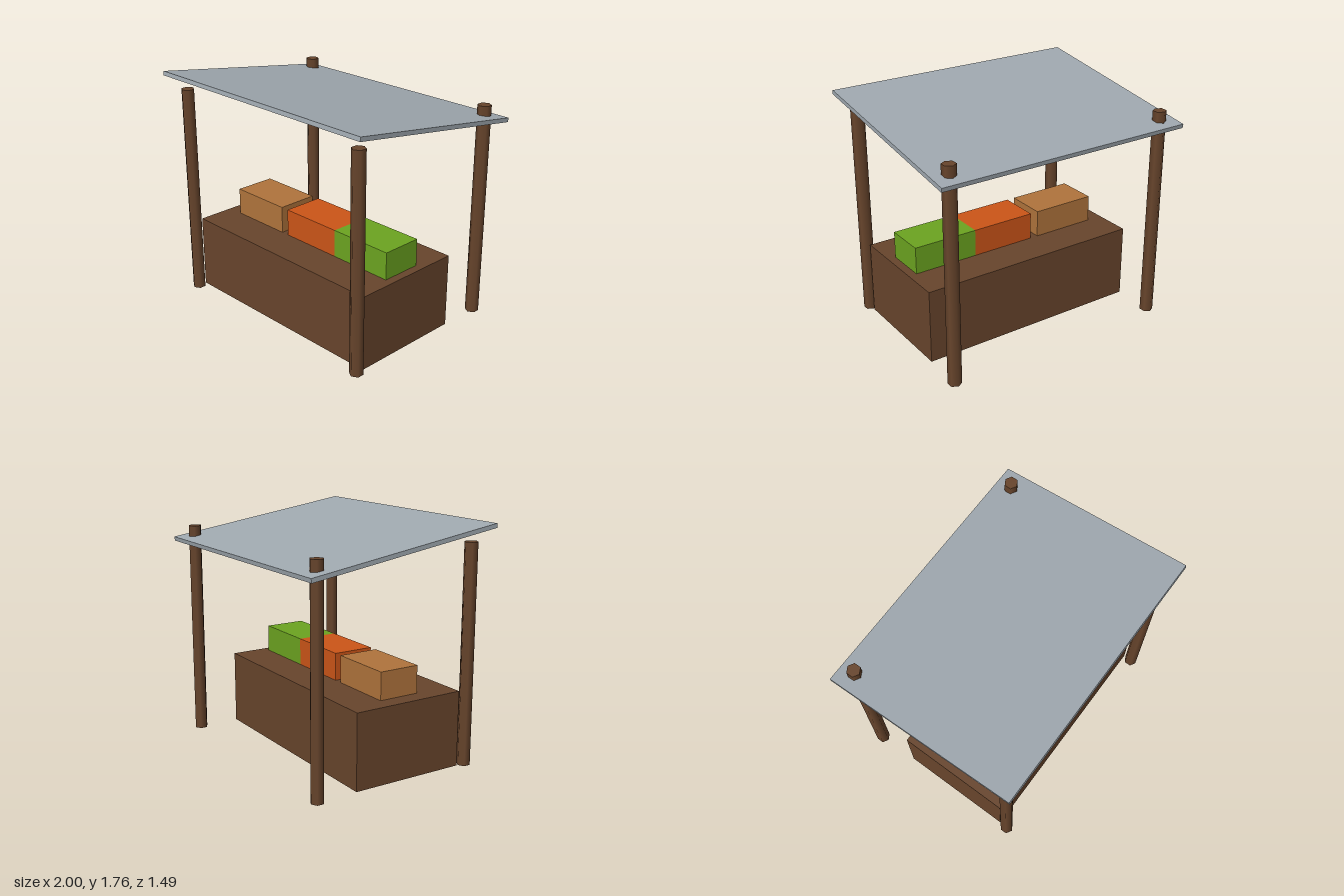
import * as THREE from 'three';

const paint = (color) => new THREE.MeshStandardMaterial({ color });

export function createModel() {
  const stall = new THREE.Group();
  stall.name = 'marketStall';
  const wood = paint(0x68452c);

  const add = (name, geometry, material, x, y, z) => {
    const mesh = new THREE.Mesh(geometry, material);
    mesh.name = name;
    mesh.position.set(x, y, z);
    stall.add(mesh);
    return mesh;
  };

  // Counter
  add('counter', new THREE.BoxGeometry(1.75, 0.5625, 0.875), wood, 0, 0.28125, 0.125);

  // Four six-sided posts; the rear pair pokes through the roof
  const postGeometry = new THREE.CylinderGeometry(0.05, 0.05, 1.625, 6);
  for (const [side, x] of [['Left', 0.875], ['Right', -0.875]]) {
    for (const [end, z] of [['front', 0.625], ['back', -0.625]]) {
      add(`${end}${side}Post`, postGeometry, wood, x, 0.8125, z);
    }
  }

  // Sloping roof, high at the front
  const roof = add('roof', new THREE.BoxGeometry(2, 0.0313, 1.5), paint(0xa0a9b0), 0, 1.628, 0);
  roof.rotation.x = -0.15;

  // Produce crates on the counter
  const crateGeometry = new THREE.BoxGeometry(0.5, 0.205, 0.3125);
  const crates = [
    ['tanCrate', 0xb0743c, -0.5],
    ['orangeCrate', 0xcc5518, 0.0625],
    ['greenCrate', 0x6ca420, 0.5625],
  ];
  for (const [name, color, x] of crates) {
    add(name, crateGeometry, paint(color), x, 0.665, 0.125);
  }

  return stall;
}
